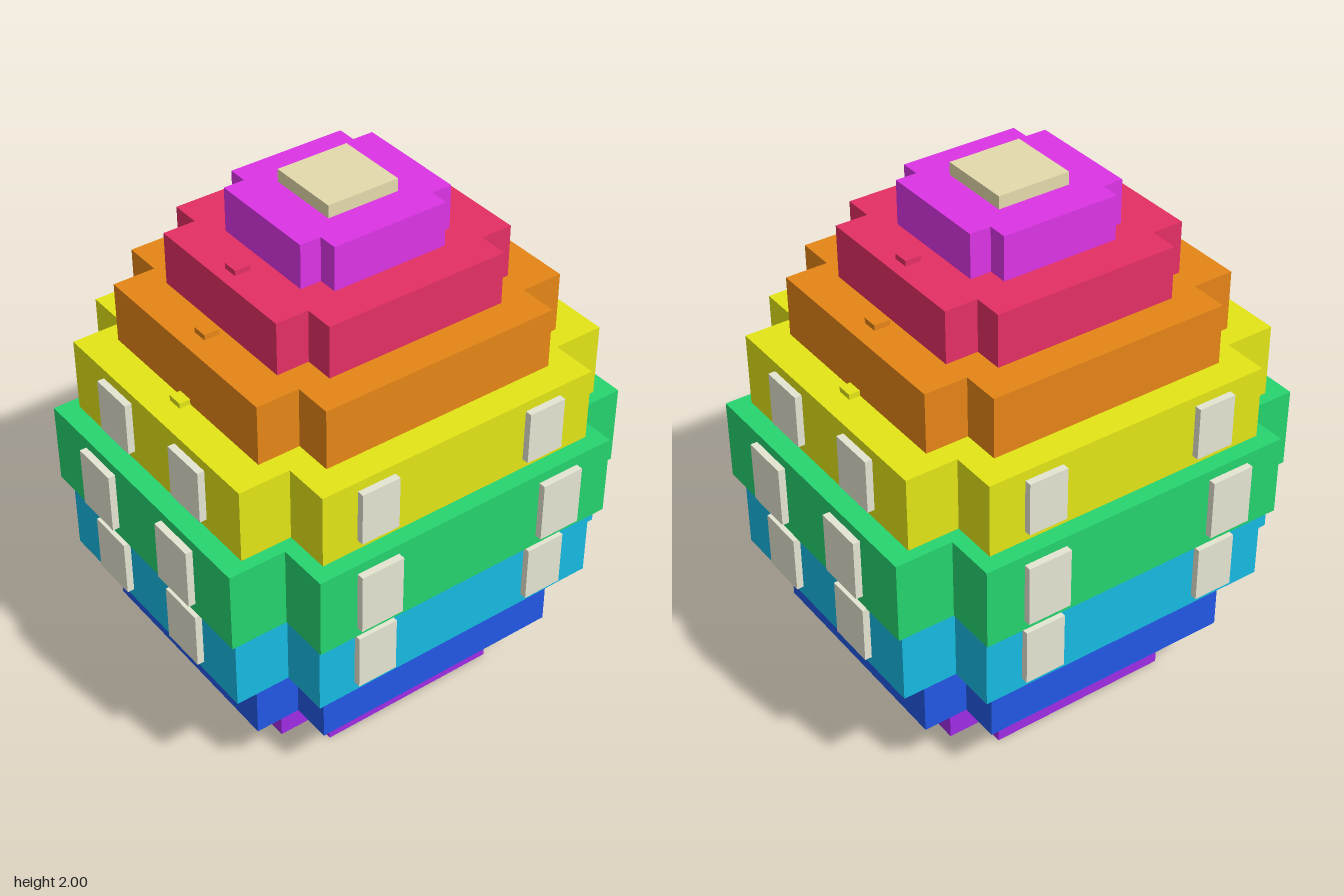
import * as THREE from 'three';

const mat = (name, color) => {
  const m = new THREE.MeshStandardMaterial({ color });
  m.name = name;
  return m;
};

// y0, y1: height span; X, Z: outer half sizes; cx, cz: corner notch positions
const TIERS = [
  { name: 'purple', color: 0xa02ce5, y0: 0, y1: 0.23, X: 0.485, cx: 0.357, Z: 0.436, cz: 0.32 },
  { name: 'blue', color: 0x2258e5, y0: 0.23, y1: 0.495, X: 0.665, cx: 0.495, Z: 0.591, cz: 0.44 },
  { name: 'teal', color: 0x16bae2, y0: 0.495, y1: 0.789, X: 0.786, cx: 0.58, Z: 0.687, cz: 0.508,
    panels: { y: 0.641, h: 0.215, x: 0.361, w: 0.153, z: 0.222, d: 0.178 } },
  { name: 'green', color: 0x26d46f, y0: 0.789, y1: 1.095, X: 0.817, cx: 0.605, Z: 0.729, cz: 0.54,
    panels: { y: 0.943, h: 0.23, x: 0.377, w: 0.165, z: 0.235, d: 0.185 } },
  { name: 'yellow', color: 0xe2e516, y0: 1.095, y1: 1.37, X: 0.741, cx: 0.55, Z: 0.667, cz: 0.495, nub: 0.625,
    panels: { y: 1.233, h: 0.2, x: 0.341, w: 0.147, z: 0.215, d: 0.172 } },
  { name: 'orange', color: 0xe58516, y0: 1.37, y1: 1.595, X: 0.613, cx: 0.455, Z: 0.558, cz: 0.415, nub: 0.518 },
  { name: 'red', color: 0xe52f65, y0: 1.595, y1: 1.79, X: 0.468, cx: 0.347, Z: 0.428, cz: 0.318, nub: 0.393 },
  { name: 'magenta', color: 0xdc34e5, y0: 1.79, y1: 1.953, X: 0.298, cx: 0.22, Z: 0.282, cz: 0.21 },
];

function box(parent, name, material, w, h, d, x, y, z) {
  const mesh = new THREE.Mesh(new THREE.BoxGeometry(w, h, d), material);
  mesh.name = name;
  mesh.position.set(x, y, z);
  parent.add(mesh);
}

// Cross-shaped slab: a rectangle with its four corners notched
function crossSlab({ X, cx, Z, cz, y0, y1 }) {
  const pts = [
    [X, -cz], [X, cz], [cx, cz], [cx, Z], [-cx, Z], [-cx, cz],
    [-X, cz], [-X, -cz], [-cx, -cz], [-cx, -Z], [cx, -Z], [cx, -cz],
  ].map(([x, z]) => new THREE.Vector2(x, z));
  const geo = new THREE.ExtrudeGeometry(new THREE.Shape(pts), { depth: y1 - y0, bevelEnabled: false });
  return geo.rotateX(-Math.PI / 2).translate(0, y0, 0);
}

export function createModel() {
  const root = new THREE.Group();
  root.name = 'tieredEgg';
  const panelMat = mat('pale grey', 0xe5e5d2);
  const T = 0.026; // panel thickness

  for (const t of TIERS) {
    const material = mat(t.name, t.color);
    const tier = new THREE.Group();
    tier.name = t.name + 'Tier';
    const slab = new THREE.Mesh(crossSlab(t), material);
    slab.name = t.name + 'Slab';
    tier.add(slab);

    // Two raised panels on each of the four sides
    const p = t.panels;
    if (p) {
      for (const a of [-1, 1]) for (const b of [-1, 1]) {
        box(tier, 'endPanel', panelMat, p.w, p.h, T, a * p.x, p.y, b * (t.Z + T / 2));
        box(tier, 'sidePanel', panelMat, T, p.h, p.d, a * (t.X + T / 2), p.y, b * p.z);
      }
    }
    // Small studs on the left and right ledges
    if (t.nub) {
      for (const a of [-1, 1]) box(tier, 'stud', material, 0.058, 0.04, 0.058, a * t.nub, t.y1, 0);
    }
    root.add(tier);
  }

  // Square cap on top
  box(root, 'topCap', mat('tan', 0xe5daac), 0.275, 0.047, 0.275, 0, 1.9765, 0);
  return root;
}
